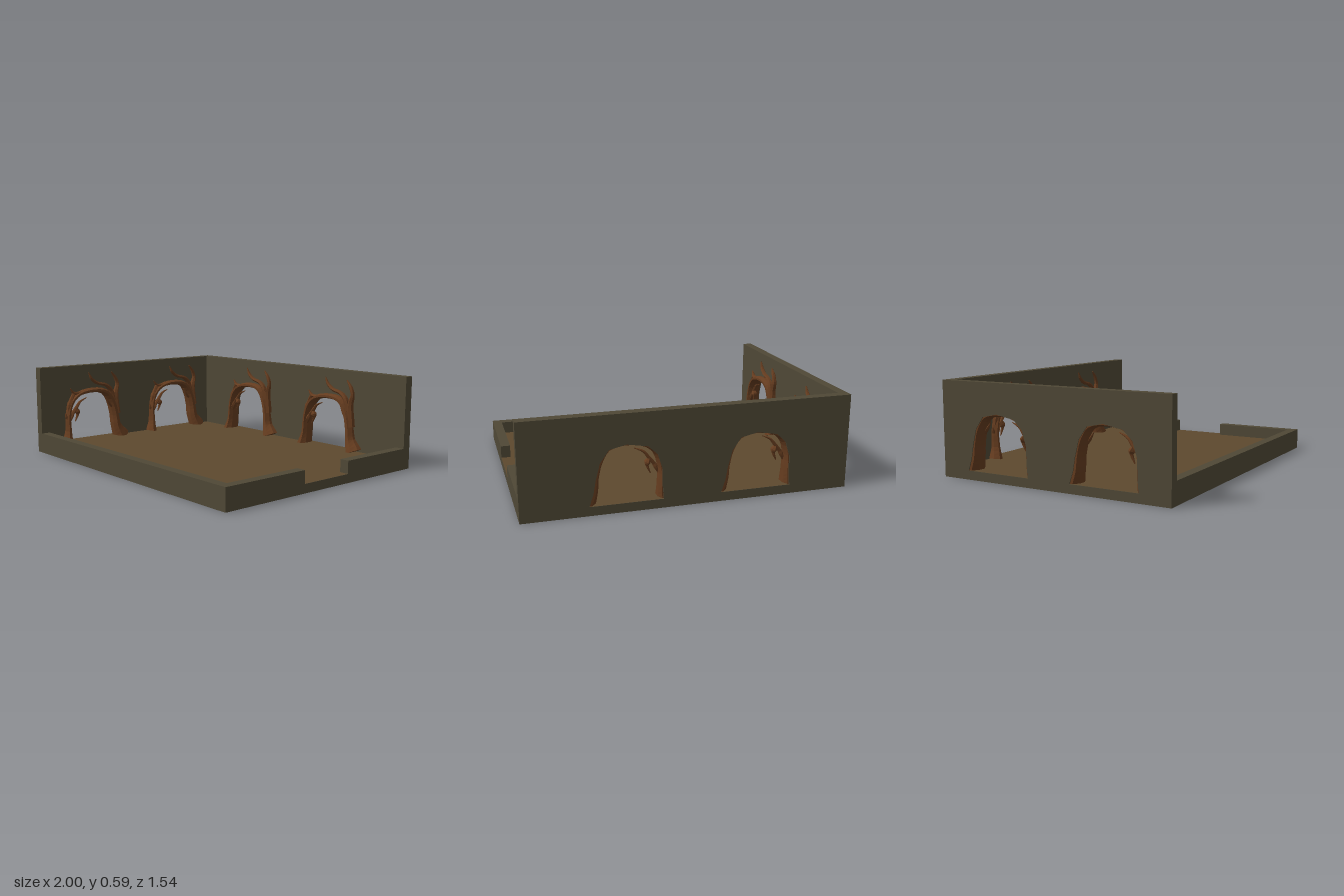
import * as THREE from 'three';

const stone = new THREE.MeshStandardMaterial({ color: 0x4f4836 });
const earth = new THREE.MeshStandardMaterial({ color: 0x5d492e });
const wood = new THREE.MeshStandardMaterial({ color: 0x653c1f, flatShading: true });

const FLOOR = 0.055, LOW = 0.135, TOP = 0.59;
const BACK = -0.775, FRONT = 0.77, INNER_BACK = -0.717, INNER_LEFT = -0.943;

function add(parent, name, geometry, material) {
  const mesh = new THREE.Mesh(geometry, material);
  mesh.name = name;
  parent.add(mesh);
  return mesh;
}

// Box given by its minimum and maximum corners
function block(parent, name, [x0, y0, z0], [x1, y1, z1]) {
  const mesh = add(parent, name, new THREE.BoxGeometry(x1 - x0, y1 - y0, z1 - z0), stone);
  mesh.position.set((x0 + x1) / 2, (y0 + y1) / 2, (z0 + z1) / 2);
}

// Tapered limb; each point is [x, y, z, half width, half depth]
function limb(points, sides, segments) {
  const path = new THREE.CatmullRomCurve3(points.map(p => new THREE.Vector3(p[0], p[1], p[2])));
  const size = new THREE.CatmullRomCurve3(points.map(p => new THREE.Vector3(p[3], p[4], 0)));
  const pos = [], index = [];
  for (let i = 0; i <= segments; i++) {
    const t = i / segments, c = path.getPoint(t), s = size.getPoint(t), d = path.getTangent(t);
    const n = new THREE.Vector3(-d.y, d.x, 0).normalize();
    for (let j = 0; j < sides; j++) {
      const a = (j + 0.5) / sides * Math.PI * 2, w = Math.cos(a) * s.x;
      pos.push(c.x + n.x * w, c.y + n.y * w, c.z + Math.sin(a) * s.y);
    }
  }
  for (let i = 0; i < segments; i++) {
    for (let j = 0; j < sides; j++) {
      const k = (j + 1) % sides, a = i * sides, b = a + sides;
      index.push(a + j, a + k, b + k, a + j, b + k, b + j);
    }
  }
  // End caps
  const last = segments * sides;
  for (let j = 1; j < sides - 1; j++) {
    index.push(0, j + 1, j, last, last + j, last + j + 1);
  }
  const g = new THREE.BufferGeometry();
  g.setAttribute('position', new THREE.Float32BufferAttribute(pos, 3));
  g.setIndex(index);
  g.computeVertexNormals();
  return g;
}

// Shared arch geometry: both trunks and the lintel in one bent limb
const archTrunk = limb([
  [-0.24, FLOOR, 0.012, 0.036, 0.066], [-0.23, 0.13, 0, 0.02, 0.054], [-0.227, 0.24, -0.005, 0.017, 0.05],
  [-0.2, 0.33, -0.005, 0.018, 0.048], [-0.14, 0.385, -0.005, 0.017, 0.048], [-0.016, 0.407, -0.005, 0.018, 0.048],
  [0.087, 0.385, -0.005, 0.022, 0.05], [0.14, 0.31, -0.005, 0.026, 0.052], [0.166, 0.21, -0.003, 0.027, 0.053],
  [0.178, 0.13, 0, 0.034, 0.057], [0.212, FLOOR, 0.012, 0.06, 0.068],
], 8, 30);

// Branches and twigs: [x, y, radius] along each
const branches = [
  ['upperBranch', [[0.186, 0.22, 0.02], [0.172, 0.37, 0.018], [0.187, 0.435, 0.013], [0.17, 0.485, 0.011], [0.138, 0.528, 0.004]]],
  ['crownBranch', [[0.15, 0.32, 0.018], [0.128, 0.4, 0.016], [0.087, 0.437, 0.013], [0.017, 0.456, 0.012], [-0.03, 0.49, 0.01], [-0.053, 0.535, 0.003]]],
  ['leftBranch', [[-0.06, 0.405, 0.012], [-0.12, 0.395, 0.013], [-0.175, 0.397, 0.011], [-0.207, 0.432, 0.003]]],
  ['shoulderBranch', [[-0.225, 0.27, 0.014], [-0.205, 0.34, 0.014], [-0.18, 0.395, 0.011]]],
  ['innerTwig', [[-0.222, 0.2, 0.012], [-0.195, 0.25, 0.012], [-0.16, 0.295, 0.011], [-0.13, 0.332, 0.008], [-0.075, 0.358, 0.002]]],
  ['hangingTwig', [[-0.165, 0.29, 0.01], [-0.152, 0.25, 0.01], [-0.172, 0.195, 0.003]]],
  ['rightTwig', [[0.158, 0.25, 0.01], [0.115, 0.3, 0.009], [0.085, 0.347, 0.002]]],
  ['leftSpur', [[-0.225, 0.2, 0.012], [-0.243, 0.235, 0.009], [-0.25, 0.258, 0.003]]],
].map(([name, pts]) => [name, limb(pts.map(([x, y, r]) => [x, y, 0.014, r, r * 1.3]), 6, pts.length * 3)]);

function treeArch() {
  const arch = new THREE.Group();
  arch.name = 'treeArch';
  add(arch, 'archTrunk', archTrunk, wood);
  for (const [name, geometry] of branches) add(arch, name, geometry, wood);
  return arch;
}

// Opening outline, running along the middle of the trunk
const opening = [[-0.235, FLOOR], [-0.228, 0.13], [-0.226, 0.24], [-0.198, 0.33], [-0.14, 0.385],
  [-0.016, 0.407], [0.087, 0.385], [0.14, 0.31], [0.166, 0.21], [0.18, 0.13], [0.205, FLOOR]];

// Wall outline notched by arch openings, with a tree arch in each; inner face at local z = 0
function archedWall(name, x0, x1, thickness, centres) {
  const wall = new THREE.Group();
  wall.name = name;
  const shape = new THREE.Shape();
  shape.moveTo(x0, FLOOR);
  for (const c of centres) for (const [x, y] of opening) shape.lineTo(c + x, y);
  shape.lineTo(x1, FLOOR);
  shape.lineTo(x1, TOP);
  shape.lineTo(x0, TOP);
  shape.closePath();
  const g = new THREE.ExtrudeGeometry(shape, { depth: thickness, bevelEnabled: false });
  add(wall, name + 'Panel', g.translate(0, 0, -thickness), stone);
  for (const c of centres) {
    const arch = treeArch();
    arch.position.x = c;
    wall.add(arch);
  }
  return wall;
}

export function createModel() {
  const room = new THREE.Group();
  room.name = 'room';

  // Base slab with an earth floor
  block(room, 'base', [-1, 0, BACK], [1, FLOOR, FRONT]);
  const floor = add(room, 'floor', new THREE.PlaneGeometry(2, FRONT - BACK), earth);
  floor.rotation.x = -Math.PI / 2;
  floor.position.set(0, FLOOR + 0.001, (FRONT + BACK) / 2);

  // Low front wall and side wall with a doorway gap
  block(room, 'frontWall', [INNER_LEFT, FLOOR, 0.71], [1, LOW, FRONT]);
  block(room, 'sideWallFront', [0.94, FLOOR, 0.182], [1, LOW, 0.71]);
  block(room, 'sideWallBack', [0.94, FLOOR, INNER_BACK], [1, LOW, -0.185]);

  // Tall back wall
  const back = archedWall('backWall', INNER_LEFT, 1, INNER_BACK - BACK, [-0.39, 0.4]);
  back.position.z = INNER_BACK;
  room.add(back);

  // Tall side wall, turned to face +x
  const side = archedWall('tallSideWall', -FRONT, -BACK, INNER_LEFT + 1, [-0.34, 0.385]);
  side.rotation.y = Math.PI / 2;
  side.position.x = INNER_LEFT;
  room.add(side);

  return room;
}
